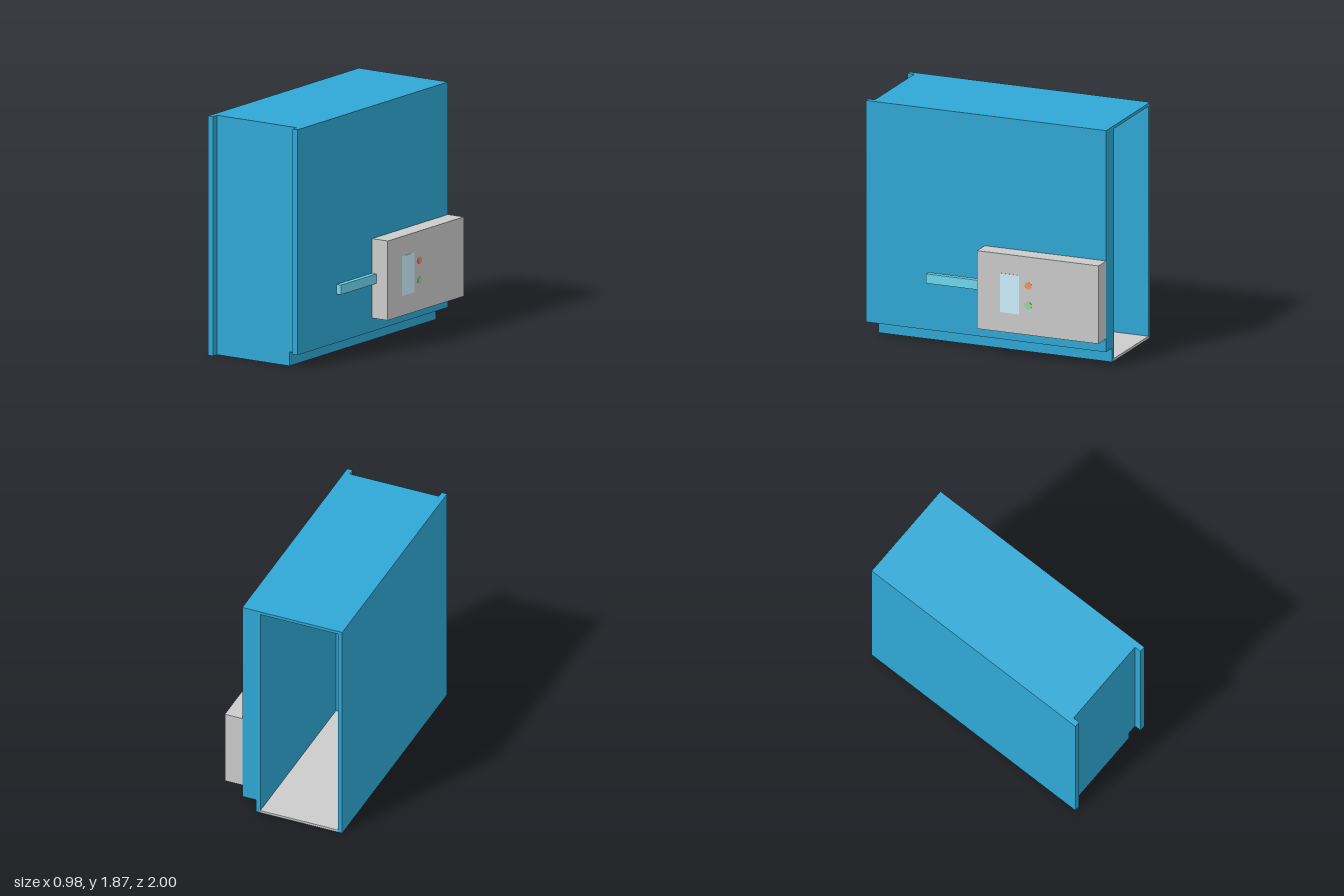
import * as THREE from 'three';

const material = (color) => new THREE.MeshStandardMaterial({ color });
const BLUE = material(0x2fa8d6);
const GREY = material(0xcccccc);
const CYAN = material(0x6fd8f0);

export function createModel() {
  const model = new THREE.Group();

  const add = (name, geometry, mat) => {
    const mesh = new THREE.Mesh(geometry, mat);
    mesh.name = name;
    model.add(mesh);
    return mesh;
  };

  // box given by its two limits on each axis
  const box = (name, mat, [x0, x1], [y0, y1], [z0, z1]) =>
    add(name, new THREE.BoxGeometry(x1 - x0, y1 - y0, z1 - z0), mat)
      .position.set((x0 + x1) / 2, (y0 + y1) / 2, (z0 + z1) / 2);

  // outline in x and y, extruded along z
  const extrude = (name, points, z0, z1) => {
    const shape = new THREE.Shape(points.map(([x, y]) => new THREE.Vector2(x, y)));
    const geometry = new THREE.ExtrudeGeometry(shape, { depth: z1 - z0, bevelEnabled: false });
    add(name, geometry, BLUE).position.z = z0;
  };

  // cabinet: hollow shell open at the back, solid front, stepped lower edge
  const step = [[0.225, 0], [0.225, 0.11], [0.34, 0.11], [0.34, 1.87], [-0.49, 1.87], [-0.49, 0]];
  const cavity = [[-0.455, 0], [-0.455, 1.845], [0.19, 1.845], [0.19, 0]];
  extrude('cabinetShell', [...step, ...cavity], -1, 0.44);
  extrude('cabinetFront', step, 0.44, 0.945);

  // upright strips framing the recessed front
  box('rightFrontStrip', BLUE, [-0.49, -0.445], [0, 1.87], [0.945, 1]);
  box('leftFrontStrip', BLUE, [0.295, 0.34], [0.11, 1.87], [0.945, 1]);

  // floor of the cavity
  box('floorPanel', GREY, [-0.455, 0.19], [0, 0.02], [-1, 0.44]);

  // small plate under the step
  box('stepPlate', GREY, [0.235, 0.33], [0.107, 0.115], [-0.41, -0.23]);

  // control box with its bar on the side
  box('controlBox', GREY, [0.34, 0.485], [0.215, 0.835], [-1, 0.01]);
  box('sideBar', CYAN, [0.34, 0.38], [0.49, 0.565], [0.01, 0.48]);

  // display and two round lamps, nearly flush with the control box
  box('display', material(0xcdf0ff), [0.484, 0.487], [0.37, 0.68], [-0.34, -0.18]);
  for (const [name, y, color] of [['upperLamp', 0.605, 0xf09468], ['lowerLamp', 0.448, 0x92de92]]) {
    const lamp = add(name, new THREE.CylinderGeometry(0.029, 0.029, 0.003, 24), material(color));
    lamp.rotation.z = -Math.PI / 2;
    lamp.position.set(0.4855, y, -0.415);
  }

  return model;
}
